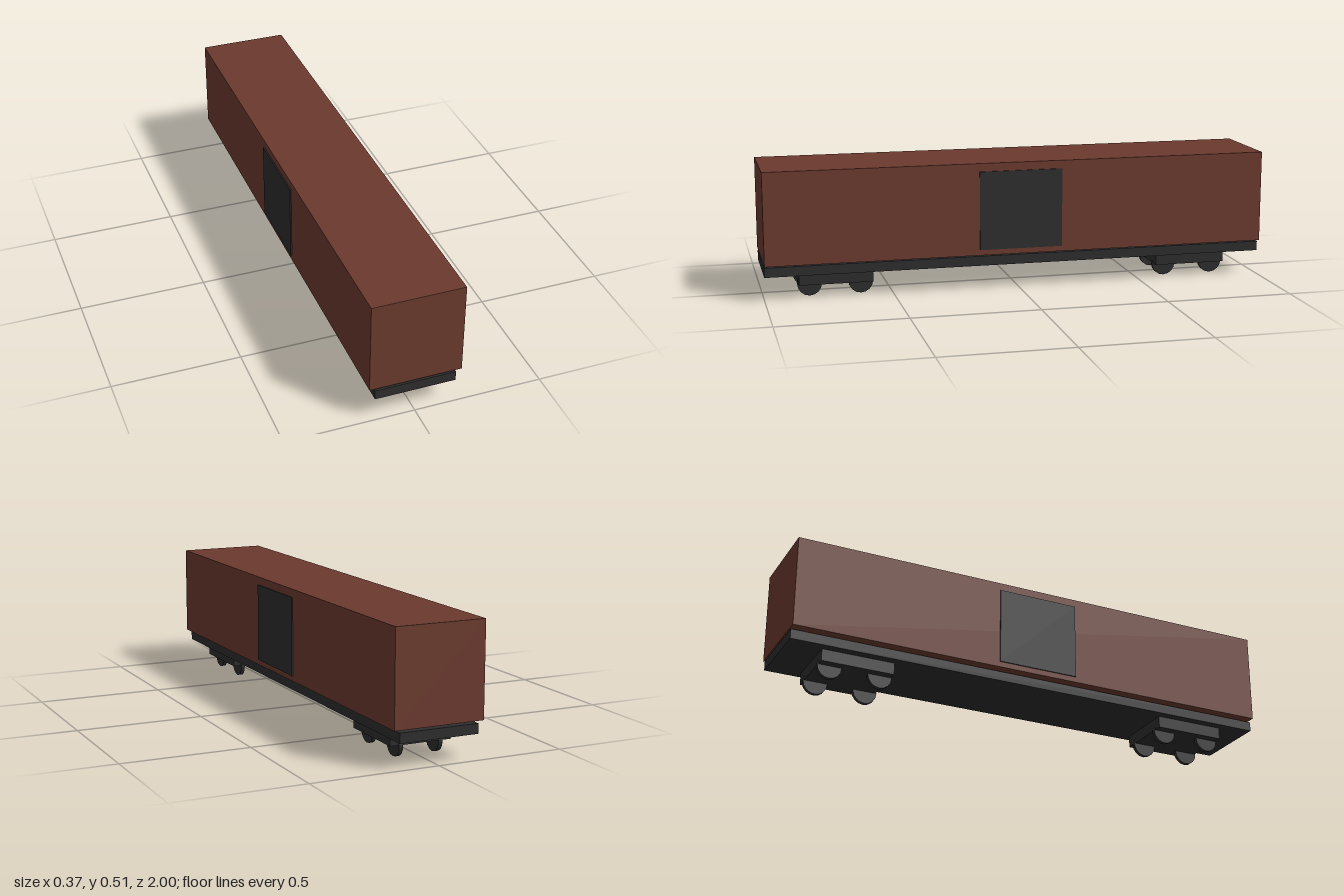
import * as THREE from 'three';

export function createModel() {
  const model = new THREE.Group();
  model.name = 'boxcar';
  const brown = new THREE.MeshStandardMaterial({ color: 0x6b3a2e });
  const dark = new THREE.MeshStandardMaterial({ color: 0x2d2d2d });

  // Box of width w between heights y0 and y1, centred on x and z
  const addBox = (parent, name, material, w, y0, y1, depth, x = 0, z = 0) => {
    const mesh = new THREE.Mesh(new THREE.BoxGeometry(w, y1 - y0, depth), material);
    mesh.name = name;
    mesh.position.set(x, (y0 + y1) / 2, z);
    parent.add(mesh);
  };

  // Body and the underframe just below it
  addBox(model, 'body', brown, 0.356, 0.144, 0.508, 2);
  addBox(model, 'underframe', dark, 0.312, 0.097, 0.135, 2);

  // Sliding door on each side
  for (const side of [-1, 1]) {
    addBox(model, side > 0 ? 'leftDoor' : 'rightDoor', dark, 0.01, 0.166, 0.476, 0.33, side * 0.178);
  }

  // Two bogies, each with two pairs of wheels
  const wheelGeometry = new THREE.CylinderGeometry(0.048, 0.048, 0.016, 16).rotateZ(Math.PI / 2);
  for (const end of [-1, 1]) {
    const bogie = new THREE.Group();
    bogie.name = end > 0 ? 'frontBogie' : 'rearBogie';
    bogie.position.z = end * 0.722;
    addBox(bogie, 'bogieFrame', dark, 0.244, 0.05, 0.097, 0.288);
    for (const x of [-0.08, 0.08]) {
      for (const z of [-0.1, 0.1]) {
        const wheel = new THREE.Mesh(wheelGeometry, dark);
        wheel.name = 'wheel';
        wheel.position.set(x, 0.048, z);
        bogie.add(wheel);
      }
    }
    model.add(bogie);
  }
  return model;
}
